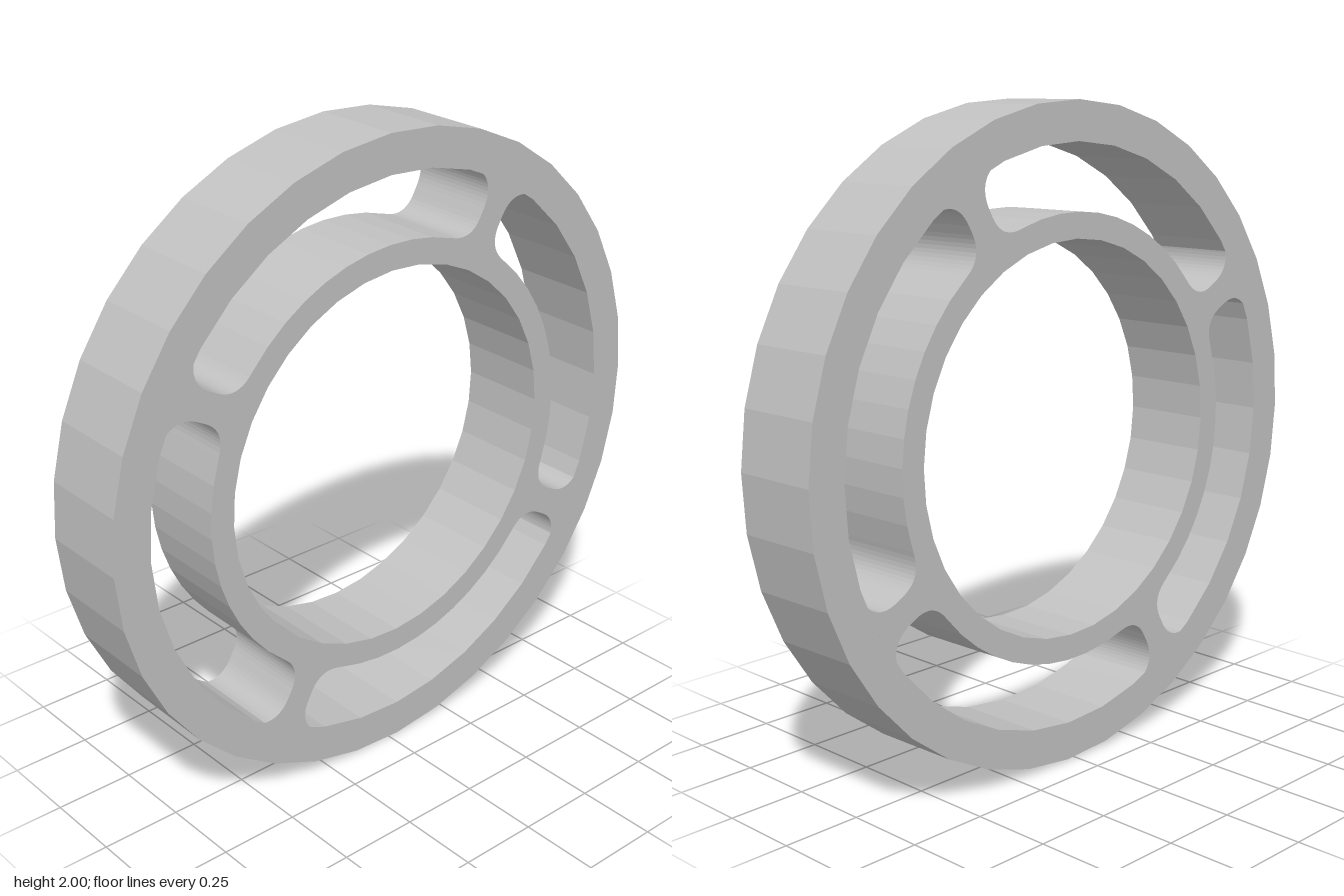
import * as THREE from 'three';

const DEPTH = 0.288, RIM = 0.999, RIM_INNER = 0.88, HUB = 0.678, BORE = 0.6;
const SPOKES = 4, FIRST = THREE.MathUtils.degToRad(61.5), TILT = 0.0145;

const polar = (r, a) => new THREE.Vector2(r * Math.cos(a), r * Math.sin(a));

// Points along an arc, both ends included
function arc(r, from, to, n) {
  return Array.from({ length: n + 1 }, (_, i) => polar(r, from + ((to - from) * i) / n));
}

function circle(r, n) {
  return arc(r, 0.035, 0.035 + Math.PI * 2, n).slice(0, -1);
}

// Flat-faced solid with a hole, its axis turned to x
function plate(outline, hole) {
  const shape = new THREE.Shape(outline);
  shape.holes.push(new THREE.Path(hole));
  const g = new THREE.ExtrudeGeometry(shape, { depth: DEPTH, bevelEnabled: false });
  g.translate(0, 0, -DEPTH / 2);
  g.rotateY(Math.PI / 2);
  return g;
}

// One flank of a spoke: rim corner, narrow waist, fillet into the hub
function flank(angle, side) {
  const dir = polar(1, angle), across = polar(side, angle + Math.PI / 2);
  const at = (r, d) => dir.clone().multiplyScalar(Math.sqrt(r * r - d * d)).addScaledVector(across, d);
  const outer = new THREE.QuadraticBezierCurve(at(RIM_INNER, 0.108), at(0.857, 0.045), at(0.785, 0.044));
  const inner = new THREE.QuadraticBezierCurve(at(0.755, 0.044), at(0.682, 0.045), at(HUB, 0.125));
  return [...outer.getPoints(10), ...inner.getPoints(10)];
}

// Hub outline, anticlockwise, with all the spokes
function hubOutline() {
  const pts = [], step = (Math.PI * 2) / SPOKES;
  const rimHalf = Math.asin(0.108 / RIM_INNER), hubHalf = Math.asin(0.125 / HUB);
  for (let i = 0; i < SPOKES; i++) {
    const a = FIRST + i * step;
    pts.push(...flank(a, -1).reverse());
    pts.push(...arc(RIM_INNER, a - rimHalf, a + rimHalf, 4).slice(1, -1));
    pts.push(...flank(a, 1));
    pts.push(...arc(HUB, a + hubHalf, a + step - hubHalf, 10).slice(1, -1));
  }
  return pts;
}

export function createModel() {
  const grey = new THREE.MeshStandardMaterial({ color: 0xc0c0c0 });
  grey.name = 'light grey';

  const wheel = new THREE.Group();
  wheel.name = 'spokedRing';

  const rim = new THREE.Mesh(plate(circle(RIM, 36), circle(RIM_INNER, 36)), grey);
  rim.name = 'outerRim';

  const hub = new THREE.Mesh(plate(hubOutline(), circle(BORE, 36)), grey);
  hub.name = 'hubWithSpokes';

  wheel.add(rim, hub);
  // The ring leans slightly to its left
  wheel.rotation.z = -TILT;
  wheel.position.y = 1;

  const model = new THREE.Group();
  model.name = 'model';
  model.add(wheel);
  return model;
}
